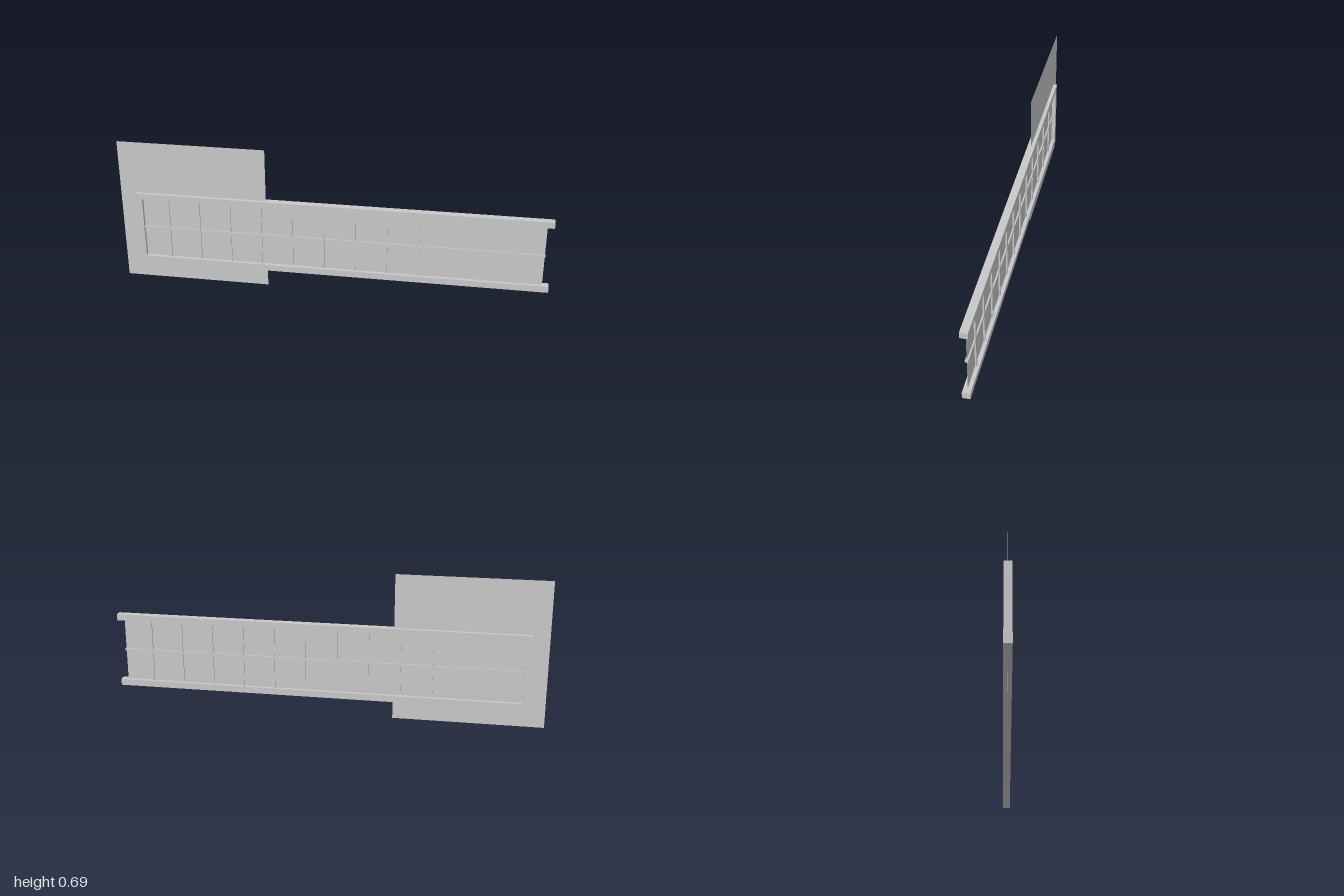
import * as THREE from 'three';

export function createModel() {
  const model = new THREE.Group();
  model.name = 'windowPanel';
  const grey = new THREE.MeshStandardMaterial({ color: 0xc8c8c8 });
  grey.name = 'lightGrey';
  const greySheet = new THREE.MeshStandardMaterial({ color: 0xc8c8c8, side: THREE.DoubleSide });
  greySheet.name = 'lightGreySheet';

  const add = (name, geometry, material) => {
    const mesh = new THREE.Mesh(geometry, material);
    mesh.name = name;
    model.add(mesh);
    return mesh;
  };
  // parts are given by their x and y extents, centred on z = 0
  const box = (name, x0, x1, y0, y1, depth) =>
    add(name, new THREE.BoxGeometry(x1 - x0, y1 - y0, depth), grey)
      .position.set((x0 + x1) / 2, (y0 + y1) / 2, 0);
  const sheet = (name, x0, x1, y0, y1) =>
    add(name, new THREE.PlaneGeometry(x1 - x0, y1 - y0), greySheet)
      .position.set((x0 + x1) / 2, (y0 + y1) / 2, 0);

  // Frame: two rails joined by one stile, open at the +x end
  const outline = [
    [-0.924, 0.086], [1, 0.086], [1, 0.116], [-0.896, 0.116],
    [-0.896, 0.412], [1, 0.412], [1, 0.441], [-0.924, 0.441],
  ].map(([x, y]) => new THREE.Vector2(x, y));
  const frame = new THREE.ExtrudeGeometry(new THREE.Shape(outline), { depth: 0.035, bevelEnabled: false });
  frame.translate(0, 0, -0.0175);
  add('frame', frame, grey);

  // Pane and the large flat sheet around the closed end
  sheet('pane', -0.896, 0.97, 0.116, 0.412);
  sheet('backSheet', -1, -0.307, 0, 0.692);

  // Glazing bars: one long bar and twelve uprights, cut where they cross
  const barHalf = 0.006, barDepth = 0.014, midY = 0.264;
  let start = -0.896;
  for (let i = 0; i < 12; i++) {
    const x = -0.777 + i * 0.1472;
    box('horizontalBar', start, x - barHalf, midY - barHalf, midY + barHalf, barDepth);
    box('verticalBar', x - barHalf, x + barHalf, 0.116, 0.412, barDepth);
    start = x + barHalf;
  }
  box('horizontalBar', start, 0.973, midY - barHalf, midY + barHalf, barDepth);

  return model;
}
